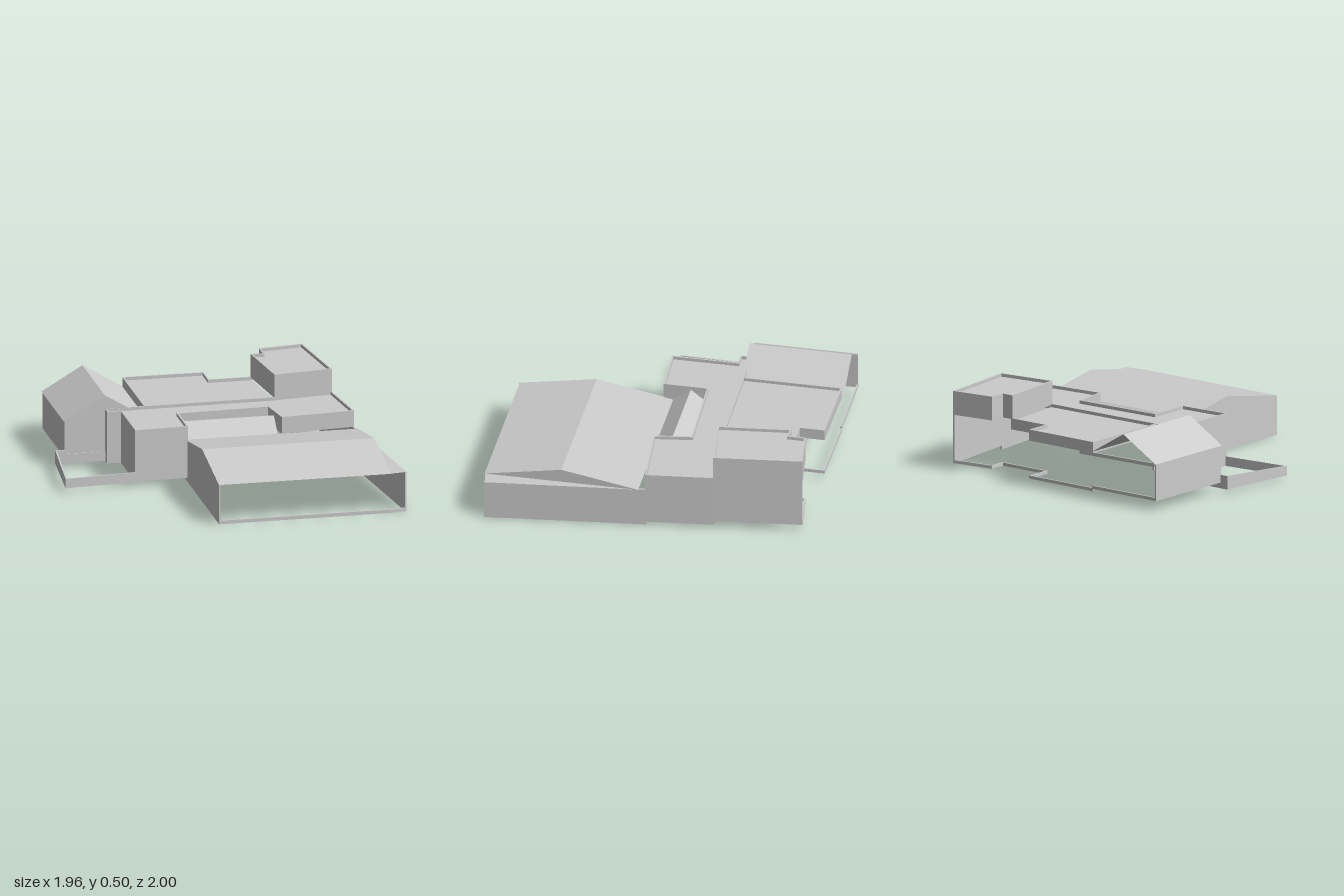
import * as THREE from 'three';

const material = new THREE.MeshStandardMaterial({ color: 0xcccccc, flatShading: true, side: THREE.DoubleSide });

function add(parent, name, geometry) {
  const mesh = new THREE.Mesh(geometry, material);
  mesh.name = name;
  parent.add(mesh);
  return mesh;
}

// Thin wall between two plan points [x, z]; the top may slope from topA to topB
function wall(parent, name, a, b, bottom, topA, topB = topA, thick = 0.01) {
  const dx = b[0] - a[0], dz = b[1] - a[1];
  const geometry = new THREE.BoxGeometry(Math.hypot(dx, dz) + thick * 0.8, 1, thick);
  const p = geometry.attributes.position;
  for (let i = 0; i < p.count; i++) {
    p.setY(i, p.getY(i) < 0 ? bottom : p.getX(i) < 0 ? topA : topB);
  }
  const mesh = add(parent, name, geometry);
  mesh.rotation.y = -Math.atan2(dz, dx);
  mesh.position.set((a[0] + b[0]) / 2, 0, (a[1] + b[1]) / 2);
}

// Run of walls along a list of plan points
function walls(parent, name, pts, bottom, top, closed = false) {
  const n = closed ? pts.length : pts.length - 1;
  for (let i = 0; i < n; i++) wall(parent, name, pts[i], pts[(i + 1) % pts.length], bottom, top);
}

// Flat convex panel through corners in space
function panel(parent, name, corners) {
  const geometry = new THREE.BufferGeometry();
  geometry.setAttribute('position', new THREE.Float32BufferAttribute(corners.flat(), 3));
  const index = [];
  for (let i = 1; i < corners.length - 1; i++) index.push(0, i, i + 1);
  geometry.setIndex(index);
  geometry.computeVertexNormals();
  add(parent, name, geometry);
}

// Level roof over a plan outline
function flatRoof(parent, name, pts, y) {
  const shape = new THREE.Shape(pts.map(([x, z]) => new THREE.Vector2(x, -z)));
  add(parent, name, new THREE.ShapeGeometry(shape).rotateX(-Math.PI / 2).translate(0, y, 0));
}

// Two roof slopes along x from eave to ridge to eave, section given as [z, y]
function ridgeRoof(parent, name, x0, x1, section) {
  for (let i = 0; i < 2; i++) {
    const [[za, ya], [zb, yb]] = [section[i], section[i + 1]];
    panel(parent, name, [[x0, ya, za], [x1, ya, za], [x1, yb, zb], [x0, yb, zb]]);
  }
  for (const x of [x0, x1]) panel(parent, name + 'End', section.map(([z, y]) => [x, y, z]));
}

function group(root, name) {
  const g = new THREE.Group();
  g.name = name;
  root.add(g);
  return g;
}

export function createModel() {
  const root = new THREE.Group();
  root.name = 'house';

  // Front hall: open front, solid sides, pitched roof
  const hall = group(root, 'frontHall');
  ridgeRoof(hall, 'hallRoof', -0.205, 0.875, [[0.03, 0.25], [0.51, 0.335], [0.99, 0.25]]);
  panel(hall, 'roofEdge', [[0.875, 0.25, 0.05], [0.875, 0.25, 0.985], [0.975, 0.25, 0.97]]);
  wall(hall, 'leftWall', [-0.2, 0.99], [-0.2, -0.19], 0, 0.25);
  wall(hall, 'rightWall', [0.97, 0.97], [0.858, -0.015], 0, 0.25);
  walls(hall, 'sill', [[-0.2, 0.99], [0.875, 0.985], [0.97, 0.97]], 0, 0.022);

  // Skylight in the court behind the hall
  const skylight = group(root, 'skylight');
  ridgeRoof(skylight, 'skylightRoof', -0.2, 0.375, [[0.03, 0.25], [-0.08, 0.335], [-0.19, 0.25]]);

  // Middle block wrapping round the court
  const middle = group(root, 'middleBlock');
  const mid = [[-0.615, -0.365], [-0.615, -0.31], [-0.53, -0.31], [-0.53, 0.1], [-0.205, 0.085],
    [-0.205, -0.185], [0.37, -0.205], [0.405, 0.025], [0.858, -0.015], [0.81, -0.43],
    [0.45, -0.385], [-0.37, -0.375]];
  flatRoof(middle, 'middleRoof', mid, 0.335);
  walls(middle, 'solidWall', mid.slice(0, 6), 0.025, 0.355);
  walls(middle, 'courtFascia', mid.slice(5, 9), 0.25, 0.355);
  walls(middle, 'courtSill', mid.slice(5, 9), 0.02, 0.042);
  walls(middle, 'rightWall', mid.slice(8, 10), 0.02, 0.355);
  walls(middle, 'rearParapet', [...mid.slice(9), mid[0]], 0.325, 0.355);

  // Rear block: open below a fascia
  const rear = group(root, 'rearBlock');
  const back = [[-0.37, -0.375], [-0.37, -0.985], [0.13, -0.98], [0.13, -0.825],
    [0.4, -0.825], [0.45, -0.385]];
  flatRoof(rear, 'rearRoof', back, 0.335);
  walls(rear, 'rearFascia', back.slice(0, 5), 0.285, 0.355);
  walls(rear, 'rearSill', back.slice(1, 5), 0.045, 0.065);

  // Tall block at the rear left corner
  const tower = group(root, 'tallBlock');
  const tall = [[0.81, -0.43], [0.45, -0.385], [0.4, -0.825], [0.475, -0.825],
    [0.475, -0.93], [0.745, -0.965]];
  flatRoof(tower, 'tallRoof', tall, 0.48);
  walls(tower, 'tallFascia', tall, 0.35, 0.5);
  walls(tower, 'tallSill', tall.slice(2), 0.045, 0.065);
  wall(tower, 'rightWall', tall[5], tall[0], 0.045, 0.5);

  // Gabled wing with an open rear end
  const wing = group(root, 'gabledWing');
  for (const x of [-0.88, -0.37]) {
    panel(wing, 'wingRoof', [[x, 0.293, -1], [x, 0.293, -0.36], [-0.623, 0.445, -0.36], [-0.623, 0.445, -1]]);
  }
  wall(wing, 'wingLeftWall', [-0.87, -0.985], [-0.87, -0.365], 0.06, 0.295);
  panel(wing, 'wingFront', [[-0.875, 0.085, -0.365], [-0.53, 0.085, -0.365], [-0.53, 0.389, -0.365],
    [-0.623, 0.445, -0.365], [-0.875, 0.295, -0.365]]);
  panel(wing, 'wingFrontPeak', [[-0.53, 0.33, -0.365], [-0.37, 0.293, -0.365], [-0.53, 0.389, -0.365]]);
  wall(wing, 'wingSill', [-0.87, -0.985], [-0.37, -0.985], 0.06, 0.08);

  // Low terrace wall
  const terrace = group(root, 'terrace');
  wall(terrace, 'terraceFront', [-0.53, 0.1], [-0.975, 0.14], 0.025, 0.085);
  wall(terrace, 'terraceSide', [-0.975, 0.14], [-0.928, -0.365], 0.025, 0.085, 0.11);
  wall(terrace, 'terraceBack', [-0.928, -0.365], [-0.87, -0.365], 0.025, 0.11);
  wall(terrace, 'terraceRear', [-0.87, -0.365], [-0.615, -0.365], 0.025, 0.085);

  return root;
}
